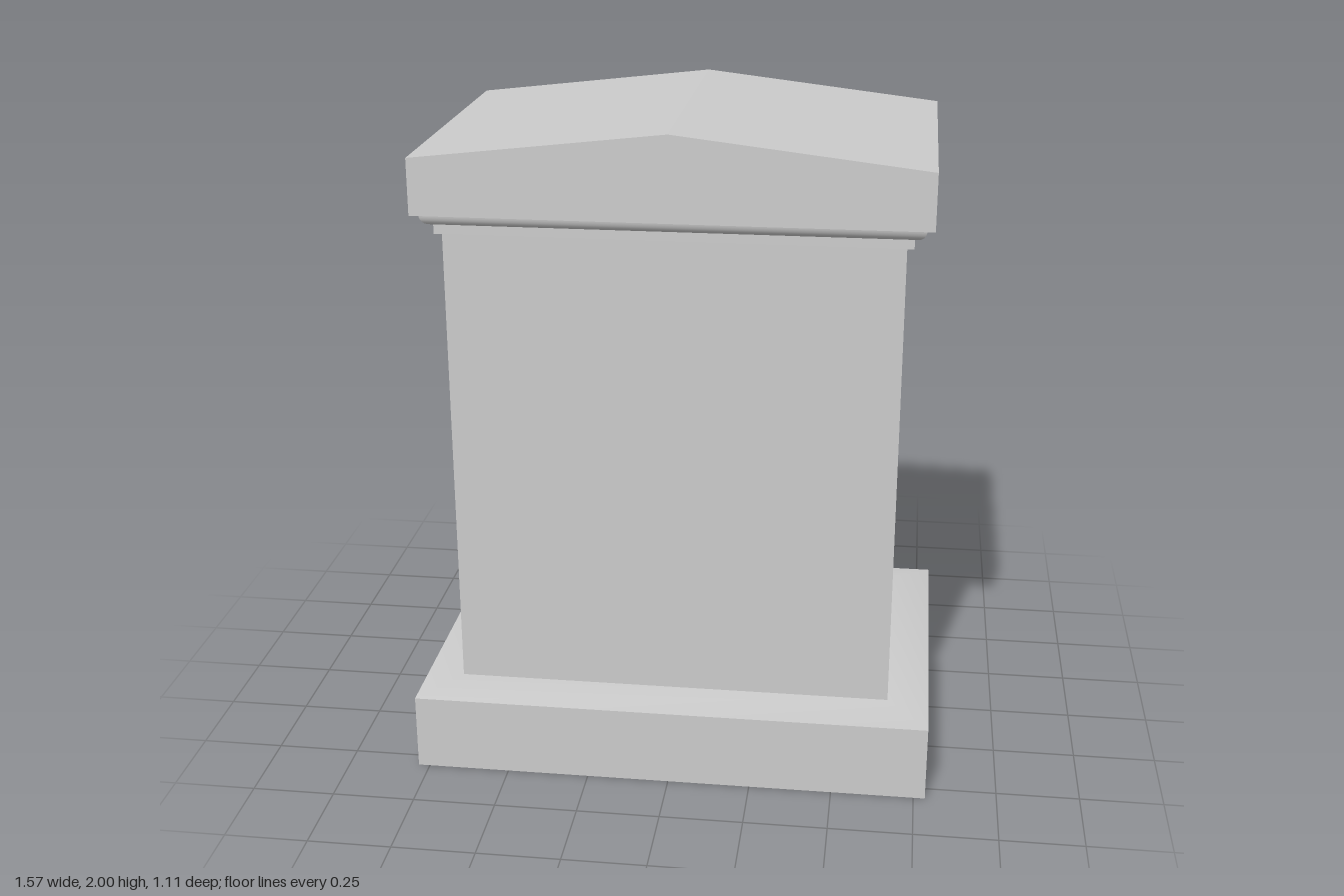
import * as THREE from 'three';
import { toCreasedNormals } from 'three/addons/utils/BufferGeometryUtils.js';

const grey = new THREE.MeshStandardMaterial({ color: 0xcccccc });

function part(name, geometry, parent) {
  const mesh = new THREE.Mesh(geometry, grey);
  mesh.name = name;
  parent.add(mesh);
  return mesh;
}

// Closed solid through stacked rectangles, each given as [halfX, halfZ, y]
function stackedRects(levels) {
  const pos = [], idx = [];
  for (const [x, z, y] of levels) pos.push(-x, y, z, x, y, z, x, y, -z, -x, y, -z);
  for (let i = 0; i < levels.length - 1; i++) {
    for (let j = 0; j < 4; j++) {
      const a = i * 4 + j, b = i * 4 + (j + 1) % 4;
      idx.push(a, b, b + 4, a, b + 4, a + 4);
    }
  }
  const t = (levels.length - 1) * 4;
  idx.push(0, 2, 1, 0, 3, 2, t, t + 1, t + 2, t, t + 2, t + 3);
  const g = new THREE.BufferGeometry();
  g.setAttribute('position', new THREE.Float32BufferAttribute(pos, 3));
  g.setIndex(idx);
  return toCreasedNormals(g, 0.5);
}

function outline(points) {
  return new THREE.Shape(points.map(([x, y]) => new THREE.Vector2(x, y)));
}

export function createModel() {
  const model = new THREE.Group();
  model.name = 'pedestal';
  const W = 0.66, D = 0.43, bodyBottom = 0.26, bodyTop = 1.685;
  const recessX = 0.53, panelZ = -0.4;

  // Plinth with sloped top
  part('plinth', stackedRects([
    [0.785, 0.555, 0], [0.785, 0.555, 0.235], [W, D, bodyBottom],
  ]), model);

  // Body with a shallow recess between two pilasters at the back
  const plan = outline([
    [-W, -D], [W, -D], [W, D], [recessX, D],
    [recessX, -panelZ], [-recessX, -panelZ], [-recessX, D], [-W, D],
  ]);
  const body = new THREE.ExtrudeGeometry(plan, { depth: bodyTop - bodyBottom, bevelEnabled: false });
  body.rotateX(-Math.PI / 2).translate(0, bodyBottom, 0);
  part('body', body, model);

  // Cornice: flat fillet, then a quarter-round moulding
  const levels = [[W + 0.02, D + 0.015, bodyTop], [W + 0.02, D + 0.015, 1.713]];
  for (let i = 0; i <= 6; i++) {
    const a = (i / 6) * Math.PI / 2;
    const out = 0.025 + 0.028 * Math.sin(a);
    levels.push([W + out, D + out - 0.004, 1.75 - 0.035 * Math.cos(a)]);
  }
  part('cornice', stackedRects(levels), model);

  // Gabled cap
  const gable = outline([[-0.735, 1.75], [0.735, 1.75], [0.735, 1.915], [0, 2], [-0.735, 1.915]]);
  const cap = new THREE.ExtrudeGeometry(gable, { depth: 1, bevelEnabled: false });
  part('cap', cap.translate(0, 0, -0.5), model);

  // Rods across the back panel, held by round mounts
  for (const y of [0.34, 0.88, 1.42]) {
    const rail = new THREE.Group();
    rail.name = 'rail';
    rail.position.set(0, y, panelZ);
    model.add(rail);
    const rod = new THREE.CylinderGeometry(0.007, 0.007, 1, 12).rotateZ(Math.PI / 2);
    part('rod', rod, rail).position.z = -0.014;
    for (const side of [-1, 1]) {
      const disc = new THREE.CylinderGeometry(0.028, 0.028, 0.01, 24).rotateX(Math.PI / 2);
      part('mountDisc', disc, rail).position.set(side * 0.5, 0, -0.005);
      const stud = new THREE.CylinderGeometry(0.012, 0.012, 0.025, 16).rotateX(Math.PI / 2);
      part('mountStud', stud, rail).position.set(side * 0.5, 0, -0.0125);
    }
  }
  return model;
}
